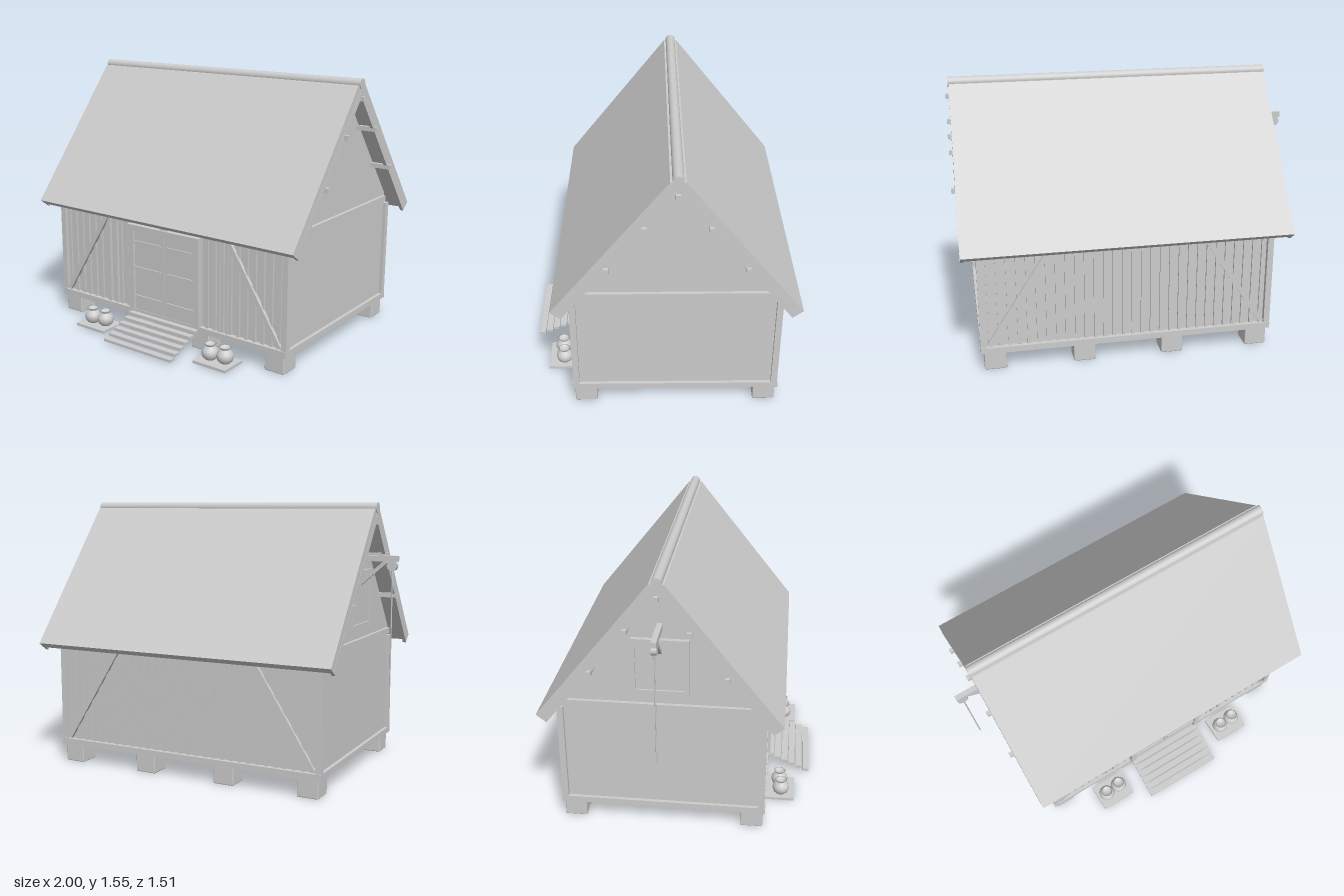
import * as THREE from 'three';
import { RoundedBoxGeometry } from 'three/addons/geometries/RoundedBoxGeometry.js';

export function createModel() {
  const root = new THREE.Group();
  root.name = 'storehouse';
  // Local frame is centred on the house body
  const house = new THREE.Group();
  house.name = 'house';
  house.position.set(0.05, 0, -0.08);
  root.add(house);

  const grey = new THREE.MeshStandardMaterial({ color: 0xcccccc });
  grey.name = 'plainGrey';

  const add = (name, geo, x = 0, y = 0, z = 0) => {
    const m = new THREE.Mesh(geo, grey);
    m.name = name;
    m.position.set(x, y, z);
    house.add(m);
    return m;
  };
  // Box given by its limits
  const box = (name, x0, x1, y0, y1, z0, z1) =>
    add(name, new THREE.BoxGeometry(x1 - x0, y1 - y0, z1 - z0), (x0 + x1) / 2, (y0 + y1) / 2, (z0 + z1) / 2);
  // Profile of [z, y] points extruded along x
  const prism = (name, pts, length, x = 0) => {
    const shape = new THREE.Shape(pts.map(p => new THREE.Vector2(p[0], p[1])));
    const geo = new THREE.ExtrudeGeometry(shape, { depth: length, bevelEnabled: false });
    geo.translate(0, 0, -length / 2).rotateY(-Math.PI / 2);
    return add(name, geo, x);
  };
  const mirrored = half => [...half, ...half.filter(p => p[0] !== 0).reverse().map(p => [-p[0], p[1]])];
  // Slanted bar between two points in an x-y plane
  const bar = (name, x0, y0, x1, y1, w, d, z) => {
    const m = add(name, new THREE.BoxGeometry(Math.hypot(x1 - x0, y1 - y0), w, d), (x0 + x1) / 2, (y0 + y1) / 2, z);
    m.rotation.z = Math.atan2(y1 - y0, x1 - x0);
  };

  // Foundation blocks
  for (const x of [-0.76, -0.255, 0.255, 0.76])
    for (const z of [-0.51, 0.51])
      add('foundationBlock', new RoundedBoxGeometry(0.125, 0.105, 0.125, 2, 0.006), x, 0.0525, z);

  // Sill and walls with gables
  box('sill', -0.84, 0.84, 0.105, 0.14, -0.585, 0.585);
  prism('walls', mirrored([[0, 1.49], [-0.555, 0.79], [-0.555, 0.14]]), 1.64);

  // Corner posts, gable bands and plates
  for (const sx of [-1, 1]) {
    for (const sz of [-1, 1])
      add('cornerPost', new THREE.BoxGeometry(0.035, 0.59, 0.035), sx * 0.8225, 0.435, sz * 0.5625);
    add('gableBand', new THREE.BoxGeometry(0.035, 0.035, 1.07), sx * 0.8225, 0.7625, 0);
  }

  // Wall battens, studs and diagonal braces
  for (const sz of [-1, 1]) {
    for (let i = 0; i < 30; i++) {
      const x = -0.783 + i * 0.054;
      if (sz > 0 && Math.abs(x) < 0.27) continue;
      add('wallBatten', new THREE.BoxGeometry(0.02, 0.58, 0.014), x, 0.43, sz * 0.56);
    }
    for (const s of [-1, 1])
      bar('wallBrace', s * 0.79, 0.15, s * 0.44, 0.7, 0.028, 0.02, sz * 0.57);
    add('wallPlate', new THREE.BoxGeometry(1.64, 0.03, 0.025), 0, 0.715, sz * 0.56);
  }
  for (const x of [-0.44, -0.385, 0.385, 0.44])
    add('doorStud', new THREE.BoxGeometry(0.018, 0.58, 0.02), x, 0.43, 0.563);

  // Double door with frame, rails and lintel
  for (const s of [-1, 1]) {
    add('doorLeaf', new THREE.BoxGeometry(0.222, 0.5, 0.03), s * 0.1125, 0.388, 0.567);
    add('doorJamb', new THREE.BoxGeometry(0.035, 0.51, 0.05), s * 0.2425, 0.39, 0.57);
    for (const y of [0.225, 0.405, 0.565])
      add('doorRail', new THREE.BoxGeometry(0.205, 0.015, 0.008), s * 0.1225, y, 0.586);
  }
  box('doorLintel', -0.265, 0.265, 0.633, 0.67, 0.55, 0.602);
  box('lintelBlock', -0.025, 0.025, 0.67, 0.71, 0.55, 0.59);

  // Thatched roof slopes, end boards and ridge roll
  prism('roofThatch', mirrored([[0, 1.493], [0, 1.515], [0.04, 1.515], [0.672, 0.724], [0.637, 0.696]])
    .slice(1, 5).concat([[0, 1.493]], [[-0.637, 0.696], [-0.672, 0.724], [-0.04, 1.515]]), 1.846);
  for (const s of [-1, 1])
    prism('gableBoard', [[0, 1.45], [0.615, 0.68], [0.637, 0.698], [0, 1.496], [-0.637, 0.698], [-0.615, 0.68]], 0.02, s * 0.914);
  add('ridgeRoll', new THREE.CylinderGeometry(0.029, 0.029, 1.855, 24).rotateZ(Math.PI / 2), 0, 1.521, 0);

  // Purlins
  for (const [z, y] of [[0, 1.44], [0.168, 1.25], [-0.168, 1.25], [0.365, 1.0], [-0.365, 1.0]])
    add('purlin', new THREE.BoxGeometry(1.89, 0.026, 0.026), 0, y, z);

  // Loft hatch on the hoist end
  add('loftHatch', new THREE.BoxGeometry(0.02, 0.29, 0.29), -0.825, 1.01, 0);
  for (const s of [-1, 1]) {
    add('hatchJamb', new THREE.BoxGeometry(0.03, 0.3, 0.02), -0.83, 1.01, s * 0.145);
    add('hatchRail', new THREE.BoxGeometry(0.03, 0.02, 0.31), -0.83, 1.01 + s * 0.15, 0);
  }

  // Hoist
  box('hoistBeam', -1.05, -0.8, 1.225, 1.257, -0.015, 0.015);
  bar('hoistBrace', -0.985, 1.228, -0.82, 1.085, 0.02, 0.02, 0);
  add('hoistPulley', new THREE.CylinderGeometry(0.029, 0.029, 0.03, 20).rotateX(Math.PI / 2), -1.017, 1.202, 0);
  add('hoistRope', new THREE.CylinderGeometry(0.004, 0.004, 0.67, 8), -1.017, 0.865, 0);

  // Entrance steps
  for (let i = 0; i < 6; i++)
    add('stepTread', new THREE.BoxGeometry(0.5, 0.016, 0.038), 0, 0.02 + i * 0.0192, 0.82 - i * 0.0442);

  // Jars on low stands
  const jar = new THREE.LatheGeometry([[0, 0], [0.03, 0], [0.043, 0.013], [0.05, 0.035], [0.046, 0.053],
    [0.034, 0.068], [0.024, 0.076], [0.024, 0.08], [0.034, 0.09], [0.028, 0.09], [0.018, 0.078], [0, 0.078]]
    .map(p => new THREE.Vector2(p[0], p[1])), 24);
  for (const s of [-1, 1]) {
    const x = s * 0.45;
    box('jarStand', x - 0.11, x + 0.11, 0.004, 0.02, 0.585, 0.75);
    add('jar', jar, x - 0.048, 0.02, 0.67);
    add('jar', jar, x + 0.047, 0.02, 0.66);
  }
  return root;
}
